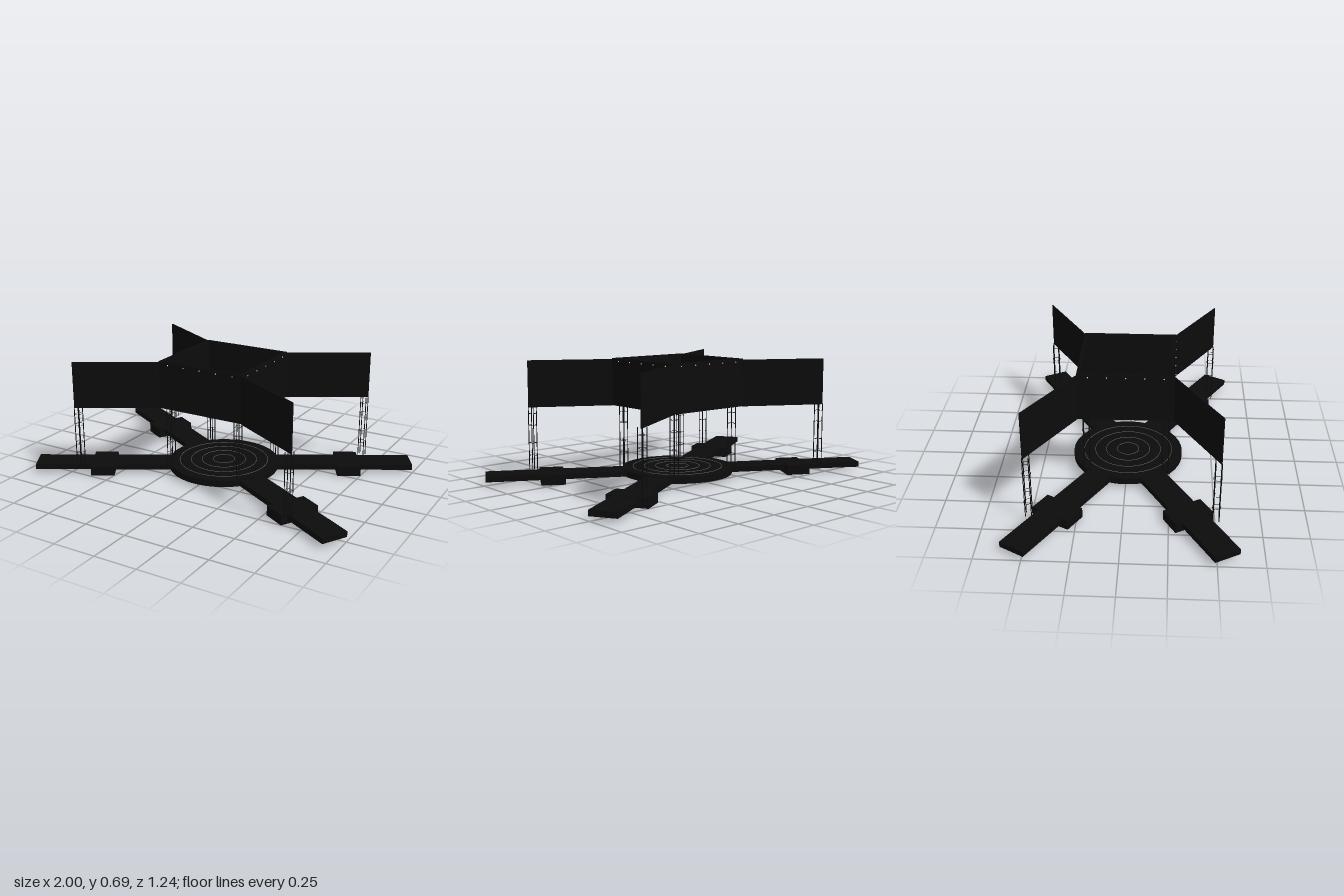
import * as THREE from 'three';

const black = new THREE.MeshStandardMaterial({ color: 0x0c0c0c });
const light = new THREE.MeshStandardMaterial({ color: 0xffffff });
const grey = new THREE.MeshStandardMaterial({ color: 0x666666 });

function add(parent, name, geometry, material, x = 0, y = 0, z = 0, ry = 0) {
  const mesh = new THREE.Mesh(geometry, material);
  mesh.name = name;
  mesh.position.set(x, y, z);
  mesh.rotation.y = ry;
  parent.add(mesh);
  return mesh;
}

// Slim four-tube mast with square rungs and round hoops
function makeTower(x, z) {
  const tower = new THREE.Group();
  tower.name = 'tower';
  tower.position.set(x, 0, z);
  const y0 = 0.05, y1 = 0.42, half = 0.0165;
  const tube = new THREE.CylinderGeometry(0.0025, 0.0025, y1 - y0, 8);
  const rung = new THREE.CylinderGeometry(0.001, 0.001, half * 2, 5).rotateZ(Math.PI / 2);
  const hoop = new THREE.TorusGeometry(0.024, 0.0012, 5, 24).rotateX(Math.PI / 2);
  for (let i = 0; i < 4; i++) {
    const a = i * Math.PI / 2;
    const sx = Math.round(Math.cos(a) - Math.sin(a)), sz = Math.round(Math.sin(a) + Math.cos(a));
    add(tower, 'towerTube', tube, black, sx * half, (y0 + y1) / 2, sz * half);
    for (const y of [0.21, 0.38]) {
      add(tower, 'towerRung', rung, black, Math.sin(a) * half, y, Math.cos(a) * half, a);
    }
  }
  for (const y of [0.135, 0.315]) add(tower, 'towerHoop', hoop, black, 0, y, 0);
  return tower;
}

export function createModel() {
  const model = new THREE.Group();
  model.name = 'stageRig';

  // Round stage with concentric inlaid rings
  add(model, 'stageDisc', new THREE.CylinderGeometry(0.322, 0.322, 0.038, 64), black, 0, 0.04, 0);
  for (const r of [0.065, 0.13, 0.195, 0.262]) {
    add(model, 'stageRing', new THREE.TorusGeometry(r, 0.0015, 6, 64).rotateX(Math.PI / 2), grey, 0, 0.0605, 0);
  }

  // Four runways with support blocks, wing panels and masts
  const runway = new THREE.BoxGeometry(0.909, 0.032, 0.153);
  const block = new THREE.BoxGeometry(0.137, 0.058, 0.235);
  const wingRun = 0.425, wingRise = 0.247;
  const wing = new THREE.BoxGeometry(Math.hypot(wingRun, wingRise), 0.272, 0.006);
  const tilt = Math.PI / 6;
  for (const sx of [-1, 1]) {
    for (const sz of [-1, 1]) {
      const ry = -sx * sz * tilt;
      const place = d => [sx * d * Math.cos(tilt), sz * d * Math.sin(tilt)];
      const [rx, rz] = place(0.6545);
      add(model, 'runway', runway, black, rx, 0.039, rz, ry);
      const [bx, bz] = place(sx > 0 ? 0.733 : 0.711);
      add(model, 'supportBlock', block, black, bx, 0.029, bz, ry);
      add(model, 'wingPanel', wing, black, sx * (0.267 + wingRun / 2), 0.552, sz * (0.269 + wingRise / 2), ry);
      model.add(makeTower(sx * 0.674, sz * 0.502));
      model.add(makeTower(sx * 0.222, sz * 0.226));
    }
  }

  // Central square of double-skinned panels with a row of small lamps
  const outer = new THREE.BoxGeometry(0.54, 0.277, 0.005);
  const inner = new THREE.BoxGeometry(0.515, 0.277, 0.005);
  const lamp = new THREE.SphereGeometry(0.004, 10, 8);
  for (let i = 0; i < 4; i++) {
    const side = new THREE.Group();
    side.name = 'screenSide';
    side.rotation.y = i * Math.PI / 2;
    add(side, 'outerPanel', outer, black, 0, 0.5555, 0.2675);
    add(side, 'innerPanel', inner, black, 0, 0.5555, 0.2545);
    for (let k = -2; k <= 2; k++) add(side, 'lamp', lamp, light, k * 0.104, 0.677, 0.27);
    model.add(side);
  }
  return model;
}
